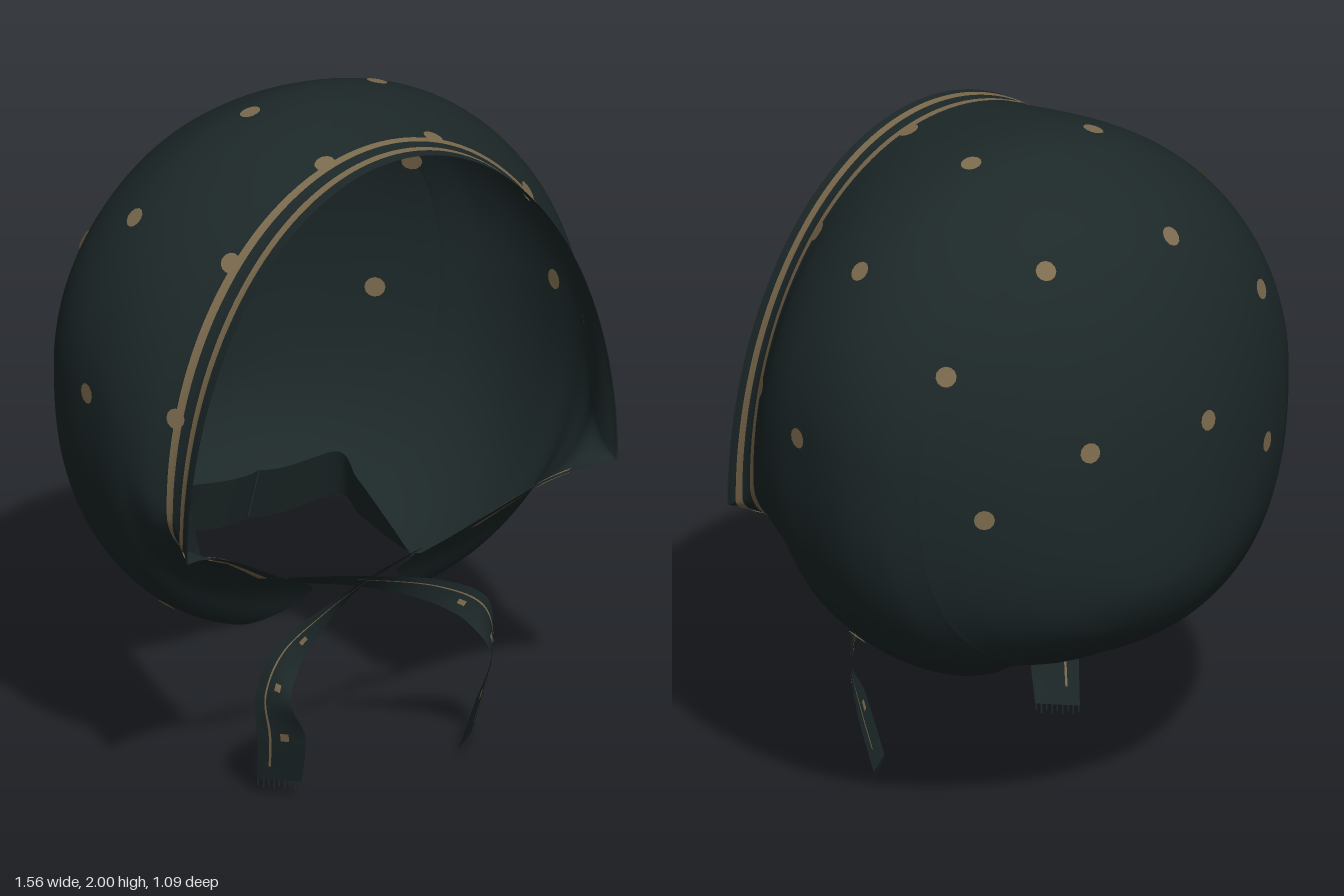
import * as THREE from 'three';

const cloth = new THREE.MeshStandardMaterial({ color: 0x1d2829, side: THREE.DoubleSide });
cloth.name = 'dark green cloth';
const tan = new THREE.MeshStandardMaterial({ color: 0x7c6b4e, side: THREE.DoubleSide });
tan.name = 'tan print';

// Hood cross-sections, front to back: z, top y, widest y, bottom y, half width, x of the open edge
const SECTIONS = [
  [0.54, 1.96, 0.87, 0.85, 0.715, 0.715],
  [0.48, 1.96, 0.92, 0.79, 0.70, 0.60],
  [0.42, 1.965, 1.0, 0.73, 0.705, 0.47],
  [0.35, 1.975, 1.08, 0.65, 0.74, 0.30],
  [0.28, 1.985, 1.15, 0.56, 0.76, 0.14],
  [0.20, 1.995, 1.2, 0.44, 0.773, 0.29],
  [0.10, 2.0, 1.24, 0.405, 0.775, 0.36],
  [0.0, 1.987, 1.25, 0.405, 0.77, 0.36],
  [-0.1, 1.95, 1.24, 0.43, 0.75, 0.34],
  [-0.2, 1.9, 1.22, 0.475, 0.705, 0.31],
  [-0.28, 1.85, 1.2, 0.525, 0.64, 0.27],
  [-0.3, 1.835, 1.195, 0.54, 0.62, 0],
  [-0.38, 1.745, 1.17, 0.595, 0.52, 0],
  [-0.46, 1.6, 1.12, 0.67, 0.39, 0],
  [-0.52, 1.42, 1.09, 0.77, 0.25, 0],
  [-0.545, 1.25, 1.07, 0.87, 0.13, 0],
  [-0.552, 1.07, 1.07, 1.07, 0, 0],
];
const LAST = SECTIONS.length - 1;
const POWER = 0.8;

function catmull(a, b, c, d, f) {
  const v0 = (c - a) / 2, v1 = (d - b) / 2;
  return (2 * b - 2 * c + v0 + v1) * f ** 3 + (-3 * b + 3 * c - 2 * v0 - v1) * f * f + v0 * f + b;
}

function section(t) {
  const i = Math.min(Math.floor(t), LAST - 1);
  const at = (k) => SECTIONS[Math.max(0, Math.min(LAST, k))];
  return at(i).map((v, k) => catmull(at(i - 1)[k], v, at(i + 1)[k], at(i + 2)[k], t - i));
}

// Section parameter at a given z
function tAt(z) {
  let lo = 0, hi = LAST;
  for (let k = 0; k < 30; k++) {
    const mid = (lo + hi) / 2;
    if (section(mid)[0] > z) lo = mid; else hi = mid;
  }
  return lo;
}

// Point on the hood; s runs from -1 (right edge) over the top to 1 (left edge)
function hoodPoint(t, s, inset = 0) {
  const [z, top, mid, bottom, w, edge] = section(t);
  const ratio = w > 0.001 ? Math.min(1, Math.max(0, edge / w)) : 0;
  const end = Math.PI - Math.asin(Math.min(1, ratio ** (1 / POWER))) - inset;
  const a = Math.abs(s) * end, sin = Math.max(0, Math.sin(a)), cos = Math.cos(a);
  const upper = cos >= 0;
  const x = Math.max(0, w) * (upper ? sin : sin ** POWER);
  const y = upper ? mid + (top - mid) * cos : mid - (mid - bottom) * (-cos) ** POWER;
  return new THREE.Vector3(Math.sign(s) * x, y, z);
}

// Surface through a grid of points
function grid(rows, cols, point) {
  const pos = [], index = [];
  for (let i = 0; i <= rows; i++)
    for (let j = 0; j <= cols; j++) pos.push(...point(i / rows, j / cols).toArray());
  for (let i = 0; i < rows; i++)
    for (let j = 0; j < cols; j++) {
      const a = i * (cols + 1) + j, c = a + cols + 1;
      index.push(a, a + 1, c, a + 1, c + 1, c);
    }
  const geo = new THREE.BufferGeometry();
  geo.setAttribute('position', new THREE.Float32BufferAttribute(pos, 3));
  geo.setIndex(index);
  geo.computeVertexNormals();
  return geo;
}

function add(parent, name, geo, material) {
  const mesh = new THREE.Mesh(geo, material);
  mesh.name = name;
  parent.add(mesh);
  return mesh;
}

// Printed patch lifted off the cloth, on the listed sides
function addPrint(parent, name, geo, lifts) {
  for (const lift of lifts) {
    const g = geo.clone(), p = g.attributes.position, n = g.attributes.normal;
    for (let i = 0; i < p.count; i++)
      p.setXYZ(i, p.getX(i) + n.getX(i) * lift, p.getY(i) + n.getY(i) * lift, p.getZ(i) + n.getZ(i) * lift);
    add(parent, name, g, tan);
  }
}

// Tie path: centre and half-width vector at each point
const TIE = [
  [-0.22, 0.61, 0.27, 0.0, 0.015, 0.02],
  [0.0, 0.578, 0.33, 0.0, 0.025, 0.025],
  [0.2, 0.53, 0.41, 0.015, 0.035, 0.01],
  [0.32, 0.45, 0.43, 0.035, 0.03, -0.01],
  [0.365, 0.33, 0.43, 0.03, 0.01, -0.045],
  [0.335, 0.2, 0.42, 0.05, 0.0, -0.05],
  [0.31, 0.03, 0.37, 0.048, 0.0, -0.042],
];

function makeTie(side, lift) {
  const tie = new THREE.Group();
  tie.name = side > 0 ? 'leftTie' : 'rightTie';
  const vec = (x, y, z) => new THREE.Vector3(x * side, y, z);
  const raise = (y) => y + (0.6 - y) * lift;
  const path = new THREE.CatmullRomCurve3(TIE.map(([x, y, z]) => vec(x, raise(y), z + (side > 0 ? 0 : 0.008))));
  const width = new THREE.CatmullRomCurve3(TIE.map(([, , , x, y, z]) => vec(x, y, z)));
  const at = (u, v) => path.getPoint(u).addScaledVector(width.getPoint(u), v);
  add(tie, 'ribbon', grid(48, 4, (u, v) => at(u, v * 2 - 1)), cloth);
  addPrint(tie, 'ribbonStripe', grid(48, 1, (u, k) => at(0.15 + u * 0.8, 0.45 + (k - 0.5) * 0.1)), [0.003, -0.003]);
  for (const u of [0.42, 0.62, 0.84])
    addPrint(tie, 'ribbonDot', grid(4, 4, (a, b) => at(u + (a - 0.5) * 0.03, -0.15 + (b - 0.5) * 0.35)), [0.003, -0.003]);
  // Frayed end
  for (let k = 0; k < 9; k++) {
    const v = -0.95 + k * 0.2375, end = at(1, v), len = 0.02 + 0.008 * (k % 2);
    add(tie, 'fringeThread', grid(1, 1, (a, b) => at(1, v + (b - 0.5) * 0.07).setY(end.y - a * len)), cloth);
  }
  // Gathered tip beside the knot
  add(tie, 'gatheredTip', grid(6, 2, (u, v) => {
    const spread = (v - 0.5) * 0.07 * Math.sin(Math.PI * (0.12 + 0.88 * u));
    return vec(0.2 + 0.16 * u, 0.59 - 0.12 * u + spread, 0.27 - 0.09 * u + spread);
  }), cloth);
  return tie;
}

export function createModel() {
  const model = new THREE.Group();
  model.name = 'headScarf';

  const hoodGeo = grid(112, 120, (u, v) => hoodPoint(u * LAST, v * 2 - 1));
  add(model, 'hood', hoodGeo, cloth);

  // Two stripes along the outside of the face opening
  for (const [front, back] of [[0.508, 0.482], [0.443, 0.418]]) {
    const t0 = tAt(front), t1 = tAt(back);
    addPrint(model, 'borderStripe', grid(2, 100, (u, v) => hoodPoint(t0 + (t1 - t0) * u, (v * 2 - 1) * 0.97)), [0.004]);
  }
  // Stripe following the lower edge towards the knot
  for (const side of [-1, 1])
    addPrint(model, 'lowerStripe', grid(20, 2, (u, v) => hoodPoint(1.2 + u * 1.8, side, 0.05 + v * 0.045)), [0.004, -0.004]);

  // Turned-in hem around the neck opening
  const t0 = tAt(0.1), t1 = tAt(-0.2995);
  for (const side of [-1, 1])
    add(model, 'neckHem', grid(40, 6, (u, v) => {
      const p = hoodPoint(t0 + (t1 - t0) * u, side);
      const fold = Math.sin(u * Math.PI / 2);
      p.x *= 1 - 0.12 * v;
      p.y += 0.17 * v * fold;
      p.z += 0.06 * v * fold;
      return p;
    }), cloth);

  // Printed dots, mirrored left and right
  const dots = [
    [0.205, 1.96, 0.055], [0.59, 1.74, 0.05], [0.775, 1.24, 0.1], [0.21, 1.79, -0.33], [0.555, 1.53, -0.31],
    [0.21, 1.29, -0.53], [0.485, 1.11, -0.4], [0.52, 0.57, 0.14],
    [0.18, 1.93, 0.415], [0.51, 1.72, 0.415], [0.69, 1.27, 0.415],
  ];
  const pos = hoodGeo.attributes.position, nor = hoodGeo.attributes.normal;
  for (const dot of dots) for (const side of [-1, 1]) {
    const target = new THREE.Vector3(dot[0] * side, dot[1], dot[2]), p = new THREE.Vector3();
    let best = 0, bestDistance = Infinity;
    for (let i = 0; i < pos.count; i++) {
      const d = p.fromBufferAttribute(pos, i).distanceToSquared(target);
      if (d < bestDistance) { bestDistance = d; best = i; }
    }
    const normal = new THREE.Vector3().fromBufferAttribute(nor, best);
    for (const lift of [0.005, -0.005]) {
      const mesh = add(model, 'dot', new THREE.CircleGeometry(0.03, 12), tan);
      mesh.position.fromBufferAttribute(pos, best).addScaledVector(normal, lift);
      mesh.quaternion.setFromUnitVectors(new THREE.Vector3(0, 0, 1), normal);
    }
  }

  model.add(makeTie(1, 0), makeTie(-1, 0.04));
  return model;
}
